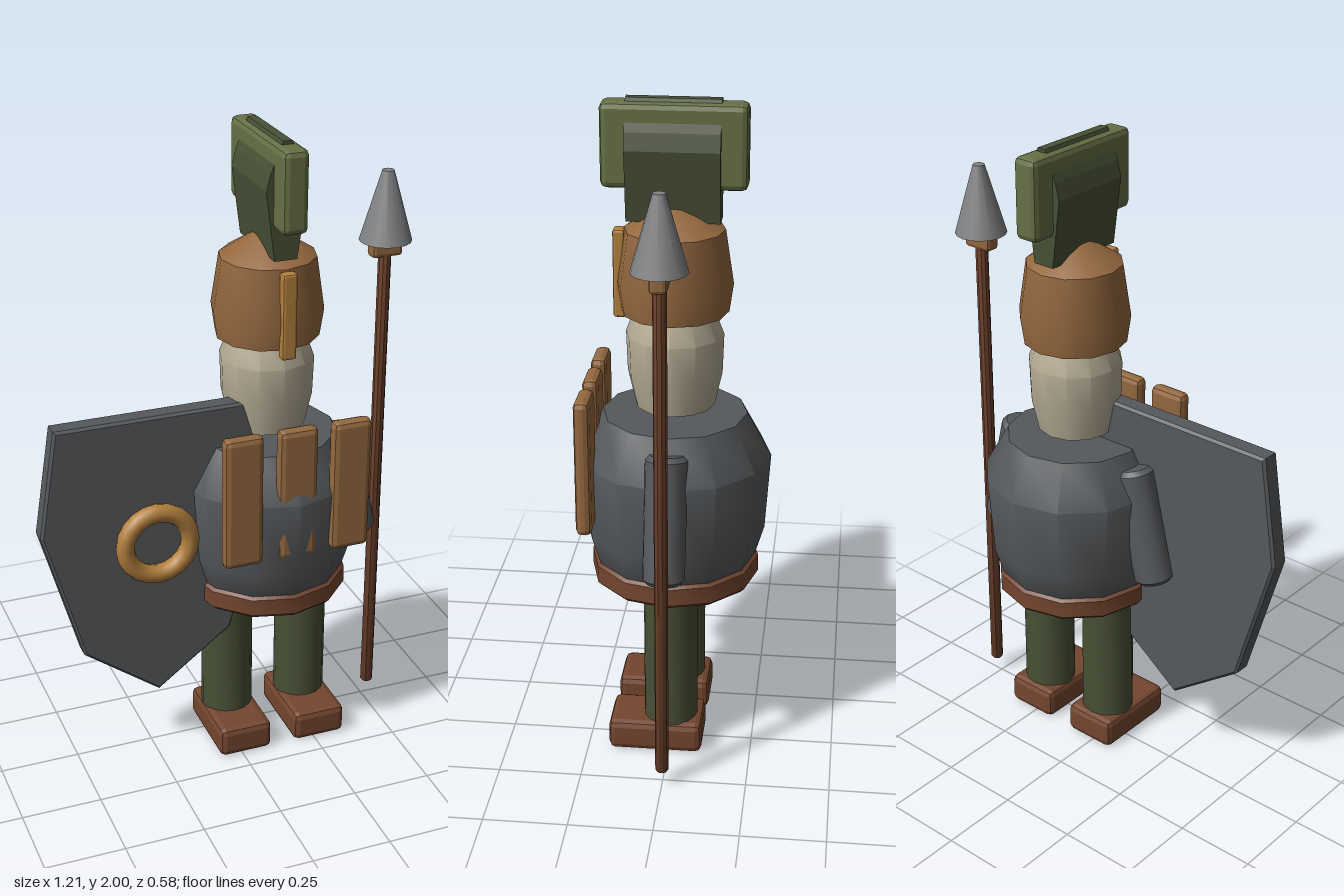
import * as THREE from 'three';
import { toCreasedNormals } from 'three/addons/utils/BufferGeometryUtils.js';
import { RoundedBoxGeometry } from 'three/addons/geometries/RoundedBoxGeometry.js';

const BODY_X = 0.14;
const paint = (color, flatShading = false) => {
  const m = new THREE.MeshStandardMaterial({ flatShading });
  m.color.set(color);
  return m;
};

export function createModel() {
  const model = new THREE.Group();
  const iron = 0x56595c, bronze = 0x94683f, leather = 0x74462f;
  const cloth = 0x485035, plume = 0x667046, gold = 0xb4803e, skin = 0xb5ab94, steel = 0x808284;

  function add(name, geometry, color, x, y, z, flat = false) {
    const mesh = new THREE.Mesh(geometry, paint(color, flat));
    mesh.name = name;
    mesh.position.set(x, y, z);
    model.add(mesh);
    return mesh;
  }
  // Box with chamfered edges, centred on x, y, z
  const box = (name, color, w, h, d, x, y, z, bevel) =>
    add(name, new RoundedBoxGeometry(w, h, d, 1, bevel), color, x, y, z, true);
  // Turned part; profile runs from bottom to top as [radius, height]
  const turned = (name, color, profile, x = BODY_X, sides = 12) =>
    add(name, toCreasedNormals(new THREE.LatheGeometry(
      profile.map(([r, y]) => new THREE.Vector2(r, y)), sides), 0.62), color, x, 0, 0);
  // Flat outline extruded along z, centred in depth
  function slab(points, depth, bevel) {
    const shape = new THREE.Shape(points.map(([x, y]) => new THREE.Vector2(x, y)));
    const g = new THREE.ExtrudeGeometry(shape, {
      depth: depth - 2 * bevel, bevelEnabled: bevel > 0, bevelSize: bevel,
      bevelThickness: bevel, bevelOffset: -bevel, bevelSegments: 1,
    });
    return g.translate(0, 0, bevel - depth / 2);
  }

  // Body and belt
  turned('torso', iron, [[0, 0.505], [0.175, 0.505], [0.195, 0.53], [0.245, 0.6],
    [0.272, 0.69], [0.288, 0.93], [0.215, 1.063], [0, 1.063]]);
  turned('belt', leather, [[0.19, 0.528], [0.243, 0.528], [0.255, 0.54], [0.255, 0.593],
    [0.243, 0.605], [0.19, 0.605], [0.19, 0.528]]);

  // Head and helmet
  turned('head', skin, [[0, 1.09], [0.118, 1.09], [0.14, 1.19], [0.144, 1.31], [0.115, 1.385], [0, 1.4]]);
  turned('helmet', bronze, [[0, 1.38], [0.158, 1.38], [0.17, 1.465], [0.146, 1.625], [0.045, 1.69], [0, 1.7]]);
  box('noseGuard', gold, 0.046, 0.265, 0.036, BODY_X, 1.488, 0.16, 0.008);

  // Helmet crest: swollen core with a bar across it
  const half = [[0.035, 1.65], [0.063, 1.86], [0.05, 1.91], [0.014, 2]];
  const outline = [...half, ...half.slice().reverse().map(([x, y]) => [-x, y])];
  add('crestCore', slab(outline, 0.27, 0), cloth, BODY_X, 0, 0.002, true);
  box('crestBar', plume, 0.08, 0.245, 0.418, BODY_X, 1.867, 0, 0.018);

  // Chest plates
  for (const offset of [-0.172, 0, 0.172])
    box('chestPlate', bronze, 0.125, 0.425, 0.048, BODY_X + offset, 0.957, 0.246, 0.018);

  // Limbs, mirrored about the body axis
  for (const side of [-1, 1]) {
    const name = side > 0 ? 'left' : 'right';
    turned(name + 'Leg', cloth, [[0, 0.08], [0.082, 0.08], [0.082, 0.53], [0, 0.53]], BODY_X + side * 0.127, 16);
    box(name + 'Foot', leather, 0.176, 0.098, 0.286, BODY_X + side * 0.127, 0.051, 0.042, 0.02);
    const arm = turned(name + 'Arm', iron, [[0, -0.19], [0.048, -0.19], [0.062, -0.176],
      [0.062, 0.176], [0.048, 0.19], [0, 0.19]], BODY_X + side * 0.275, 16);
    arm.position.y = 0.835;
    arm.rotation.z = side * 0.235;
  }

  // Shield with its ring
  const shieldOutline = [[-0.307, 1.197], [-0.36, 0.855], [-0.24, 0.425], [0, 0.245],
    [0.24, 0.425], [0.36, 0.855], [0.307, 1.197]];
  add('shield', slab(shieldOutline, 0.064, 0.008), iron, -0.245, 0, 0.052, true);
  add('shieldRing', new THREE.TorusGeometry(0.104, 0.029, 10, 20), gold, -0.248, 0.783, 0.1);

  // Spear
  turned('spearShaft', leather, [[0, 0.05], [0.016, 0.05], [0.02, 0.056], [0.02, 1.59], [0, 1.59]], 0.52, 10);
  box('spearCollar', bronze, 0.1, 0.056, 0.05, 0.52, 1.598, 0, 0.012);
  turned('spearHead', steel, [[0, 1.62], [0.08, 1.62], [0.018, 1.836], [0, 1.836]], 0.52, 16);

  return model;
}
